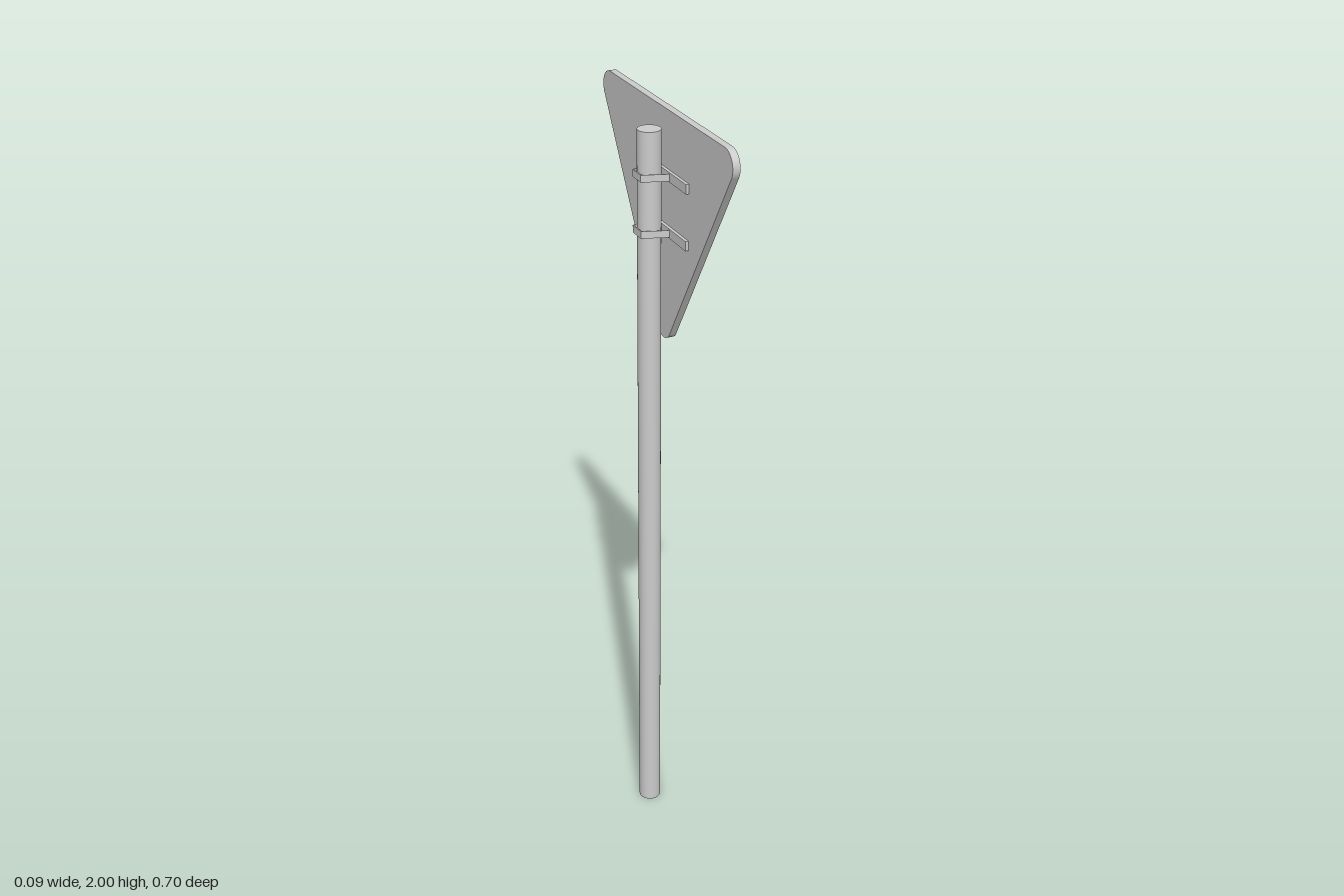
import * as THREE from 'three';

const POLE_X = -0.014, MID_Z = 0.004;

export function createModel() {
  const group = new THREE.Group();
  const mat = new THREE.MeshStandardMaterial({ color: 0xcccccc });
  const add = (name, geo, x = 0, y = 0, z = 0) => {
    const mesh = new THREE.Mesh(geo, mat);
    mesh.name = name;
    mesh.position.set(x, y, z);
    group.add(mesh);
    return mesh;
  };

  // Round post
  add('post', new THREE.CylinderGeometry(0.029, 0.029, 1.955, 32), POLE_X, 1.955 / 2, MID_Z);

  // Downward triangular plate with rounded corners, facing +x
  const r = 0.041, cx = 0.352 - r, top = 2 - r, bottom = 1.415 + r;
  const tilt = Math.atan2(top - bottom, cx) - Math.PI / 2; // direction of the right side's normal
  const shape = new THREE.Shape();
  shape.absarc(cx, top, r, tilt, Math.PI / 2, false);
  shape.absarc(-cx, top, r, Math.PI / 2, Math.PI - tilt, false);
  shape.absarc(0, bottom, r, Math.PI - tilt, 2 * Math.PI + tilt, false);
  shape.closePath();
  const plate = new THREE.ExtrudeGeometry(shape, { depth: 0.019, bevelEnabled: false, curveSegments: 12 });
  plate.rotateY(Math.PI / 2);
  add('signPlate', plate, 0.026);

  // Two brackets: a rail on the plate and a thin strap around the post
  for (const y of [1.705, 1.845]) {
    add('bracketRail', new THREE.BoxGeometry(0.008, 0.024, 0.265), 0.022, y, MID_Z);
    add('strapBack', new THREE.BoxGeometry(0.003, 0.018, 0.046), -0.0455, y, MID_Z + 0.001);
    for (const side of [-1, 1]) {
      const dx = 0.065, dz = 0.021;
      const arm = add('strapArm', new THREE.BoxGeometry(Math.hypot(dx, dz), 0.018, 0.0015),
        -0.0135, y, MID_Z + 0.001 + side * 0.0335);
      arm.rotation.y = -side * Math.atan2(dz, dx);
    }
  }
  return group;
}
